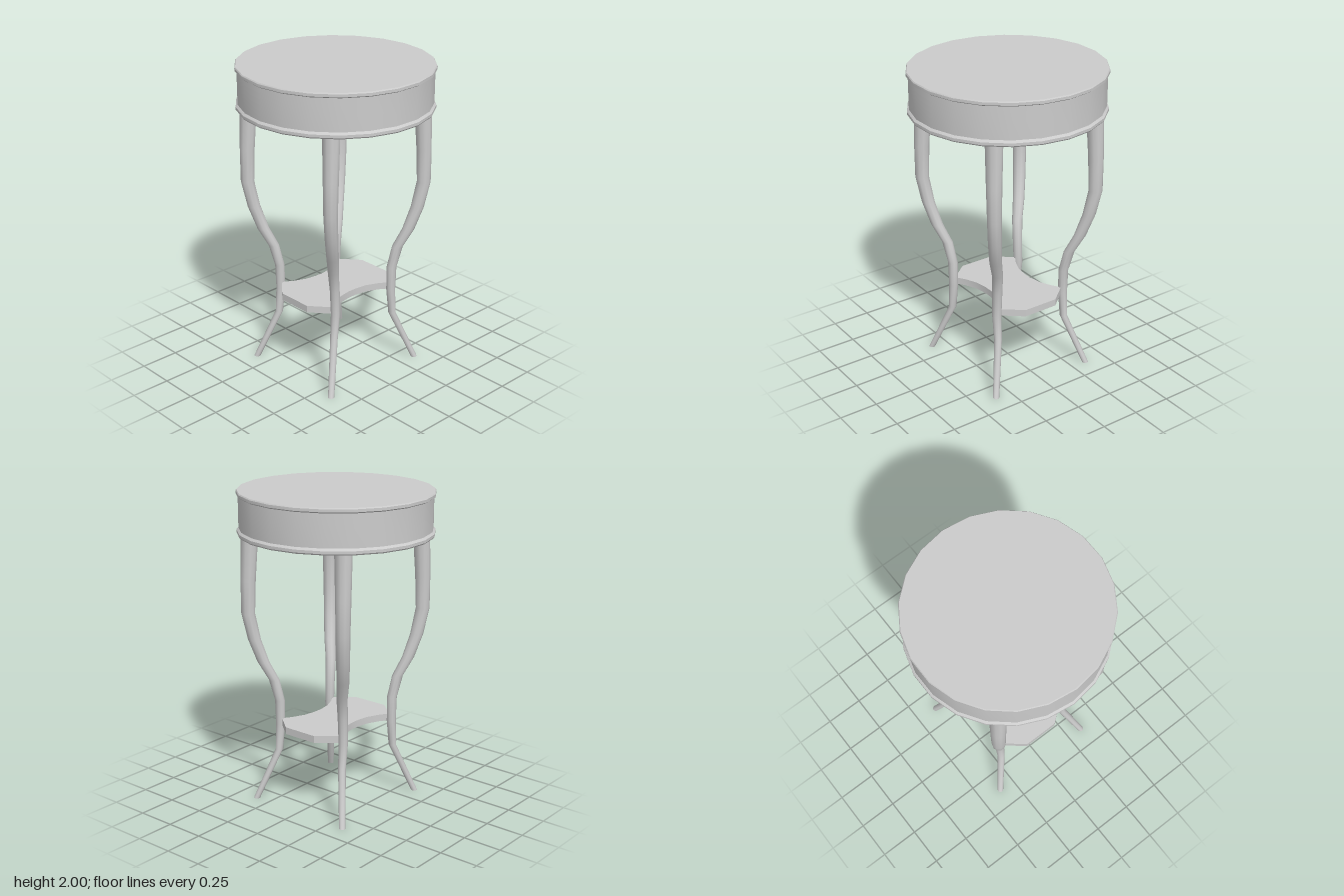
import * as THREE from 'three';
import { toCreasedNormals } from 'three/addons/utils/BufferGeometryUtils.js';

const material = new THREE.MeshStandardMaterial({ color: 0xcccccc });

function addPart(parent, name, geometry, crease) {
  const mesh = new THREE.Mesh(toCreasedNormals(geometry, crease), material);
  mesh.name = name;
  parent.add(mesh);
  return mesh;
}

// Leg stations from floor to top: [y, centre x, centre z, radius]
const LEG = [
  [0, 0.372, 0.355, 0.02],
  [0.33, 0.257, 0.258, 0.024],
  [0.5, 0.243, 0.257, 0.029],
  [0.66, 0.248, 0.256, 0.031],
  [0.8, 0.278, 0.275, 0.034],
  [0.92, 0.325, 0.32, 0.038],
  [1.07, 0.366, 0.354, 0.041],
  [1.24, 0.394, 0.376, 0.043],
  [1.45, 0.39, 0.374, 0.047],
  [1.74, 0.378, 0.365, 0.053],
];

// A straight cylinder whose rings are moved onto the leg stations
function legGeometry(sx, sz) {
  const n = LEG.length - 1;
  const geometry = new THREE.CylinderGeometry(1, 1, n, 10, n);
  const p = geometry.attributes.position;
  for (let i = 0; i < p.count; i++) {
    const [y, x, z, r] = LEG[Math.round(p.getY(i) + n / 2)];
    p.setXYZ(i, sx * x + r * p.getX(i), y, sz * z + r * p.getZ(i));
  }
  return geometry;
}

// Shelf outline: concave front and back, convex ends, mirrored from one quarter
function shelfGeometry() {
  const quarter = [[0.352, 0.115], [0.25, 0.238], [0.19, 0.2], [0.11, 0.165], [0.03, 0.153]];
  const flipX = ([x, z]) => [-x, z];
  const half = [...quarter, ...quarter.map(flipX).reverse()];
  const outline = [...half, ...half.map(([x, z]) => [-x, -z])];
  const shape = new THREE.Shape(outline.map(([x, z]) => new THREE.Vector2(x, z)));
  const geometry = new THREE.ExtrudeGeometry(shape, { depth: 0.045, bevelEnabled: false });
  return geometry.rotateX(-Math.PI / 2).translate(0, 0.495, 0);
}

export function createModel() {
  const table = new THREE.Group();
  table.name = 'roundSideTable';

  // Drum top: lower rim, recessed apron, upper rim
  const profile = [
    [0, 1.73], [0.594, 1.73], [0.6, 1.738], [0.6, 1.755], [0.588, 1.768],
    [0.588, 1.968], [0.6, 1.976], [0.6, 1.993], [0.595, 2], [0, 2],
  ].map(([r, y]) => new THREE.Vector2(r, y));
  const drum = new THREE.LatheGeometry(profile, 22, Math.PI / 2);
  drum.scale(1, 1, 1.013);
  addPart(table, 'tableTop', drum, 0.5);

  // Four curved legs
  for (const [sx, sz, name] of [
    [1, 1, 'frontLeftLeg'], [-1, 1, 'frontRightLeg'],
    [1, -1, 'backLeftLeg'], [-1, -1, 'backRightLeg'],
  ]) addPart(table, name, legGeometry(sx, sz), 0.9);

  // Low shelf tying the legs together
  addPart(table, 'shelf', shelfGeometry(), 0.5);

  return table;
}
